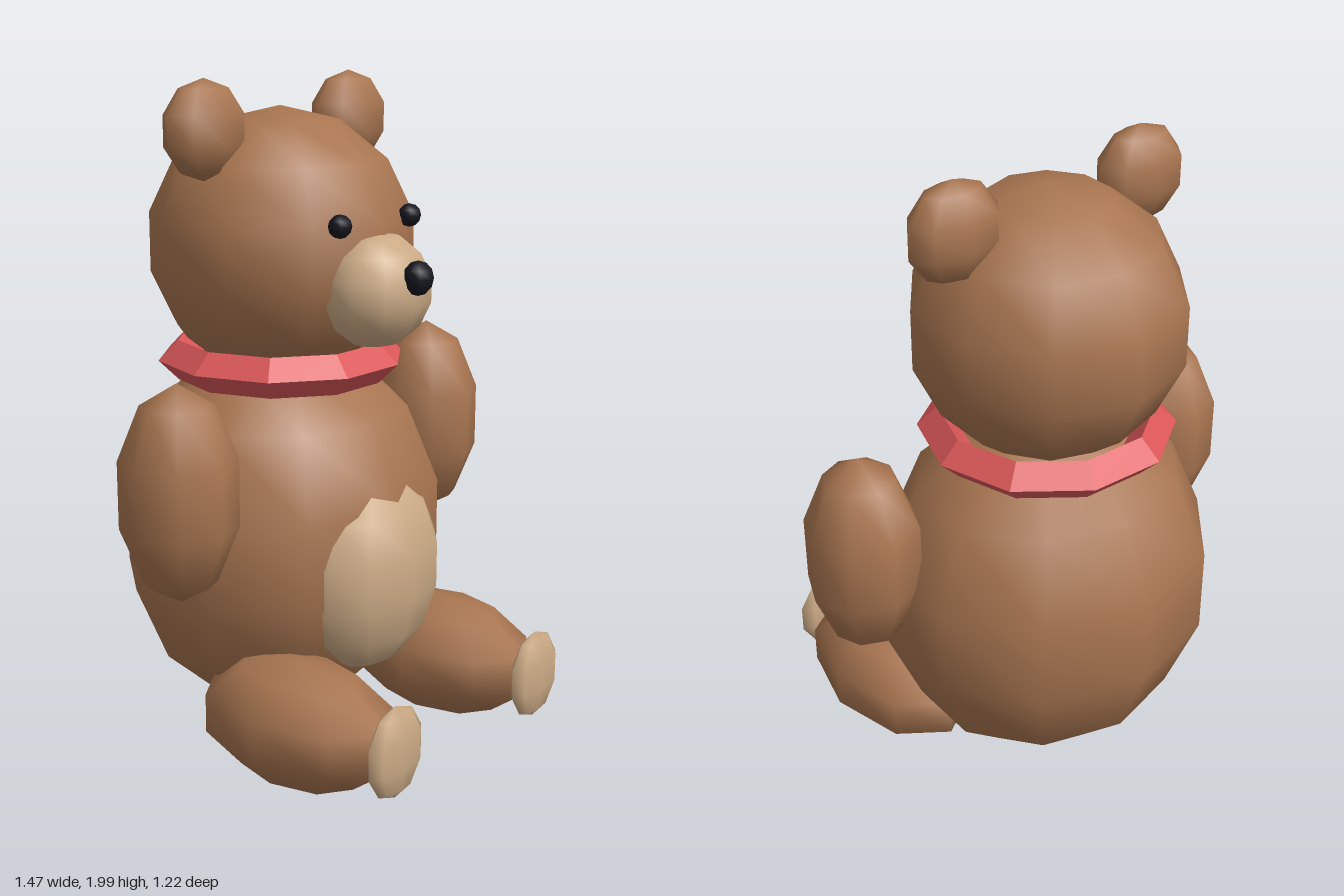
import * as THREE from 'three';

function material(name, color, flatShading = false) {
  const m = new THREE.MeshStandardMaterial({ color, flatShading });
  m.name = name;
  return m;
}

export function createModel() {
  const bear = new THREE.Group();
  bear.name = 'teddyBear';

  const fur = material('brownFur', 0xa87550);
  const pale = material('paleFur', 0xcbaa85);
  const dark = material('darkButton', 0x15161f);
  const red = material('redCollar', 0xdb5759, true);

  // Smooth low-poly ellipsoid with a column of vertices facing front
  function blob(name, mat, position, radii, sides, rings) {
    const geometry = new THREE.SphereGeometry(1, sides, rings);
    geometry.rotateY(Math.PI / 2);
    geometry.scale(...radii);
    const mesh = new THREE.Mesh(geometry, mat);
    mesh.name = name;
    mesh.position.set(...position);
    bear.add(mesh);
    return mesh;
  }

  // Torso, tummy patch, head and muzzle
  blob('body', fur, [0, 0.64, -0.147], [0.528, 0.588, 0.475], 10, 7);
  blob('tummy', pale, [0, 0.56, 0.205], [0.275, 0.305, 0.167], 10, 7);
  blob('head', fur, [0, 1.505, -0.145], [0.405, 0.405, 0.405], 10, 7);
  blob('muzzle', pale, [0, 1.407, 0.22], [0.181, 0.168, 0.15], 10, 7);
  blob('nose', dark, [0, 1.457, 0.368], [0.046, 0.05, 0.044], 8, 6);

  // Paired parts, mirrored across x
  for (const [side, s] of [['left', 1], ['right', -1]]) {
    blob(side + 'Ear', fur, [0.315 * s, 1.857, -0.147], [0.149, 0.143, 0.09], 8, 5);
    blob(side + 'Eye', dark, [0.157 * s, 1.604, 0.215], [0.034, 0.034, 0.034], 8, 6);
    blob(side + 'Arm', fur, [0.567 * s, 0.882, -0.022], [0.176, 0.317, 0.178], 8, 5);
    blob(side + 'Leg', fur, [0.343 * s, 0.195, 0.22], [0.212, 0.188, 0.348], 8, 5);
    blob(side + 'FootPad', pale, [0.345 * s, 0.21, 0.575], [0.123, 0.138, 0.036], 8, 5);
  }

  // Diamond-section collar around the neck
  const ring = new THREE.TorusGeometry(0.315, 0.06, 4, 10);
  ring.rotateX(Math.PI / 2);
  const collar = new THREE.Mesh(ring, red);
  collar.name = 'collar';
  collar.position.set(0, 1.165, -0.145);
  bear.add(collar);

  return bear;
}
